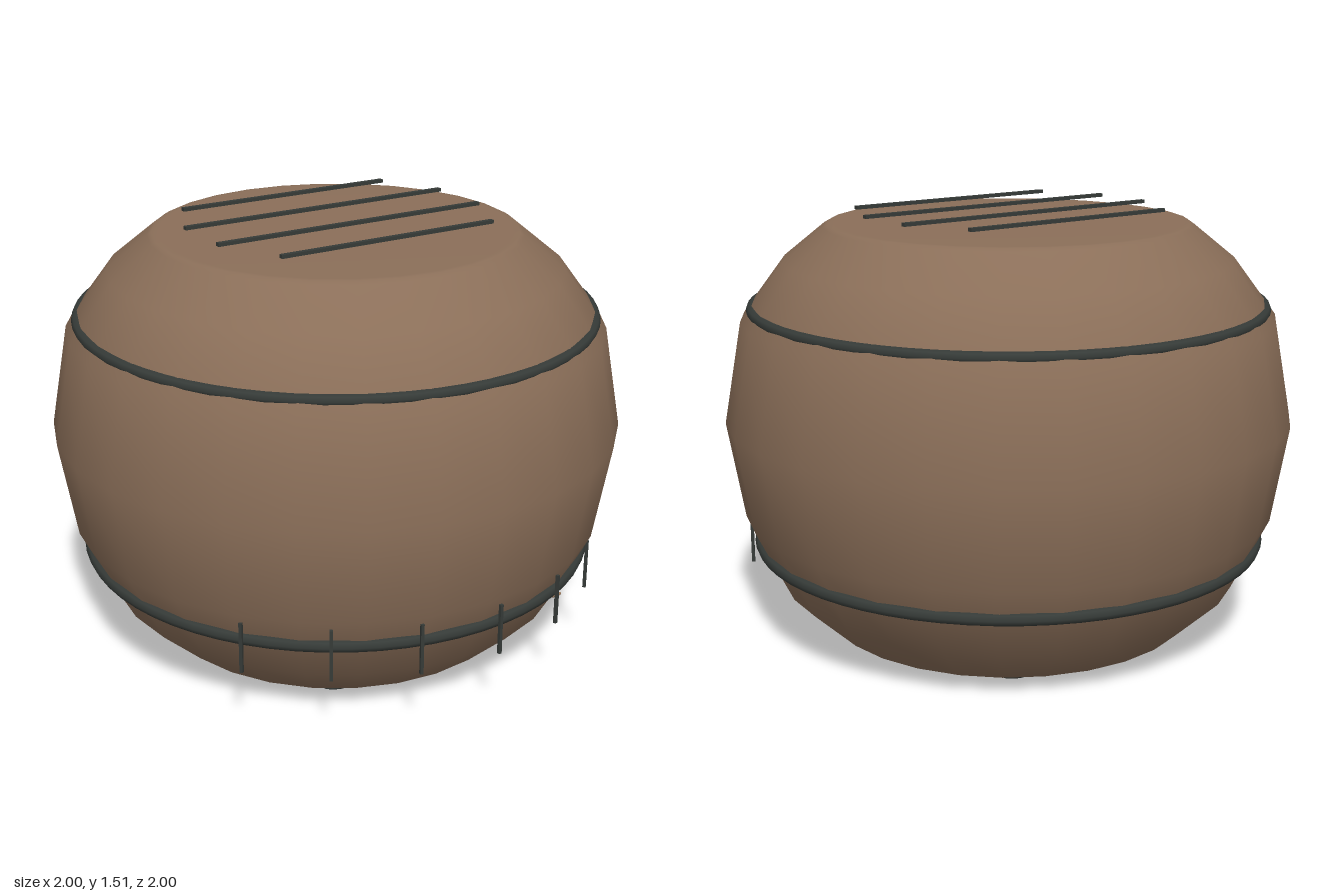
import * as THREE from 'three';

export function createModel() {
  const model = new THREE.Group();
  const material = (name, color) => {
    const m = new THREE.MeshStandardMaterial({ color });
    m.name = name;
    return m;
  };
  const brown = material('warm brown', 0x8b6f59);
  const dark = material('charcoal', 0x363b38);
  const tan = material('tan', 0x9a7658);

  const add = (name, geometry, mat, x = 0, y = 0, z = 0) => {
    const mesh = new THREE.Mesh(geometry, mat);
    mesh.name = name;
    mesh.position.set(x, y, z);
    model.add(mesh);
    return mesh;
  };

  // Rounded barrel body with flat, softly bevelled ends
  const profile = [
    [0, 0.02], [0.61, 0.02], [0.63, 0.021], [0.66, 0.035], [0.815, 0.18], [0.943, 0.44],
    [1, 0.78], [0.936, 1.135], [0.787, 1.335], [0.645, 1.45], [0.63, 1.459], [0.61, 1.46], [0, 1.46],
  ].map(([r, y]) => new THREE.Vector2(r, y));
  add('body', new THREE.LatheGeometry(profile, 28), brown);

  // Hoops around the shoulder and the base
  const hoop = (name, y, tube) => {
    const g = new THREE.TorusGeometry(0.915 - tube, tube, 8, 64);
    add(name, g.rotateX(Math.PI / 2), dark, 0, y, 0);
  };
  hoop('upperHoop', 1.17, 0.02);
  hoop('lowerHoop', 0.335, 0.023);

  // Slats floating just over the top
  [[-0.345, 0.82], [-0.12, 1.03], [0.115, 1.03], [0.34, 0.82]].forEach(([z, length]) =>
    add('topSlat', new THREE.BoxGeometry(length, 0.012, 0.018), dark, 0, 1.5, z));

  // Upright pins spaced around the front of the lower hoop
  for (let i = -3; i <= 3; i++) {
    const a = THREE.MathUtils.degToRad(3.7 + 18.05 * i);
    const pin = add('pin', new THREE.BoxGeometry(0.011, 0.18, 0.011), dark,
      0.928 * Math.sin(a), 0.32, 0.928 * Math.cos(a));
    pin.rotation.y = a;
  }

  // Small stud low on the front
  add('stud', new THREE.SphereGeometry(1, 12, 8).scale(0.026, 0.007, 0.012), tan, 0.5, 0.205, 0.67);

  // Flattened oval feet
  [[-0.28, 0.5], [-0.51, -0.24], [0.3, -0.47]].forEach(([x, z]) =>
    add('foot', new THREE.SphereGeometry(1, 16, 10).scale(0.085, 0.018, 0.048), dark, x, 0.018, z));

  return model;
}
